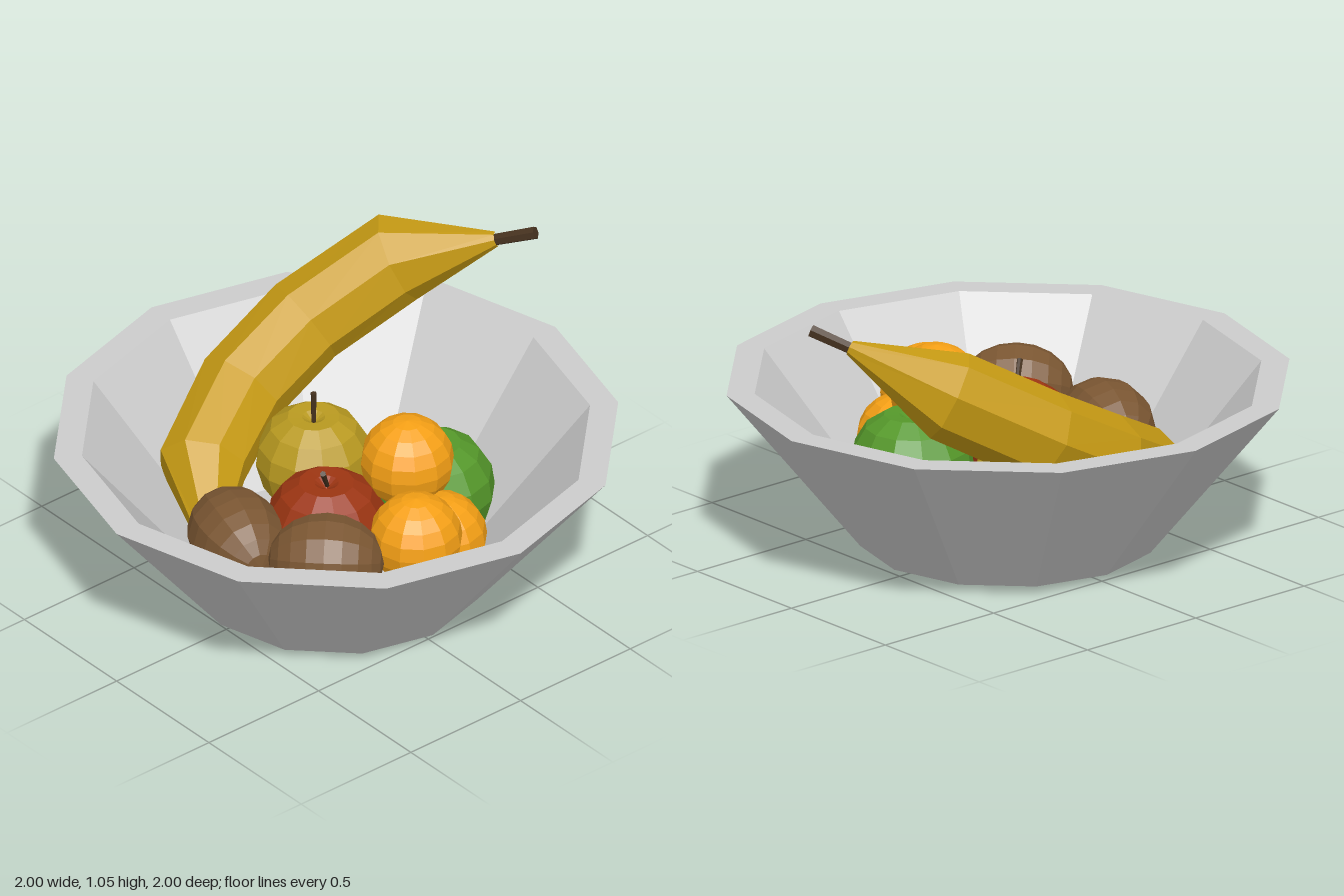
import * as THREE from 'three';

const V = (x, y, z) => new THREE.Vector3(x, y, z);
const mat = (color) => new THREE.MeshStandardMaterial({ color, flatShading: true });
const stemMat = mat(0x46321f);

function add(parent, name, geometry, material) {
  const mesh = new THREE.Mesh(geometry, material);
  mesh.name = name;
  parent.add(mesh);
  return mesh;
}

const lathe = (pts, sides) =>
  new THREE.LatheGeometry(pts.map(([x, y]) => new THREE.Vector2(x, y)), sides);

// Short tapered stalk between two points
function addStem(parent, name, from, to, r0, r1) {
  const dir = to.clone().sub(from);
  const stem = add(parent, name, new THREE.CylinderGeometry(r1, r0, dir.length(), 6), stemMat);
  stem.position.copy(from).add(to).multiplyScalar(0.5);
  stem.quaternion.setFromUnitVectors(V(0, 1, 0), dir.normalize());
}

// Rings swept along a path that lies in the plane with the given normal
function loft(path, radii, normal, sides) {
  const pos = [], index = [];
  path.forEach((c, i) => {
    const before = c.clone().sub(path[Math.max(i - 1, 0)]).normalize();
    const after = path[Math.min(i + 1, path.length - 1)].clone().sub(c).normalize();
    const tangent = before.add(after).normalize();
    const side = normal.clone().cross(tangent).normalize();
    const up = tangent.clone().cross(side);
    for (let j = 0; j < sides; j++) {
      const a = (j / sides) * Math.PI * 2;
      const p = c.clone().addScaledVector(side, radii[i] * Math.cos(a))
        .addScaledVector(up, radii[i] * Math.sin(a));
      pos.push(p.x, p.y, p.z);
      if (i === path.length - 1) continue;
      const k = i * sides + j, n = i * sides + (j + 1) % sides;
      index.push(k, n, k + sides, n, n + sides, k + sides);
    }
  });
  const g = new THREE.BufferGeometry();
  g.setAttribute('position', new THREE.Float32BufferAttribute(pos, 3));
  g.setIndex(index);
  g.computeVertexNormals();
  return g;
}

export function createModel() {
  const model = new THREE.Group();
  model.name = 'fruitBowl';

  // Twelve-sided bowl with a thick rim and a shallow pointed base
  add(model, 'bowl', lathe([
    [0, 0], [0.525, 0.03], [1, 0.62], [0.9, 0.62], [0.48, 0.1], [0, 0.09],
  ], 12), mat(0xcccccc));

  // Apples: dimpled profile, each with a leaning stalk
  const appleProfile = [
    [0, -0.82], [0.25, -0.92], [0.6, -0.78], [0.87, -0.42], [1, 0.05],
    [0.95, 0.4], [0.75, 0.74], [0.45, 0.94], [0.2, 0.93], [0, 0.8],
  ];
  [
    ['greenApple', 0x55982a, 0.22, V(0.155, 0.31, -0.31), V(0.02, 0.28, 0.01)],
    ['yellowApple', 0xb99a20, 0.205, V(-0.24, 0.32, -0.1), V(0, 0.29, 0)],
    ['redApple', 0x9c3512, 0.217, V(0.115, 0.32, 0.14), V(0.04, 0.28, 0.05)],
  ].forEach(([name, color, r, at, tip]) => {
    const apple = new THREE.Group();
    apple.name = name;
    apple.position.copy(at);
    add(apple, name + 'Body', lathe(appleProfile.map(([x, y]) => [x * r, y * r]), 12), mat(color));
    addStem(apple, name + 'Stem', V(-tip.x / 3, r * 0.78, -tip.z / 3), tip, 0.008, 0.011);
    model.add(apple);
  });

  // Oranges
  const orangeMat = mat(0xf5a015);
  [[0.22, 0.55, -0.14], [0.48, 0.435, 0.04], [0.4, 0.32, -0.14]].forEach((p, i) => {
    add(model, 'orange' + (i + 1), new THREE.SphereGeometry(0.165, 12, 10), orangeMat).position.set(...p);
  });

  // Kiwis: spheres stretched along their poles and laid down
  const kiwiMat = mat(0x7a5632);
  [[-0.025, 0.345, 0.43, 0.215, -0.3], [0.348, 0.4, 0.337, 0.203, 0.8]].forEach(([x, y, z, len, turn], i) => {
    const g = new THREE.SphereGeometry(0.167, 12, 10);
    g.scale(1, len / 0.167, 1).rotateZ(Math.PI / 2).rotateY(turn);
    add(model, 'kiwi' + (i + 1), g, kiwiMat).position.set(x, y, z);
  });

  // Banana: planar curve leaning over the rim, tapering at both ends
  const banana = new THREE.Group();
  banana.name = 'banana';
  const path = [
    V(-0.15, 0.975, -0.86), V(-0.45, 0.83, -0.66), V(-0.57, 0.64, -0.34),
    V(-0.57, 0.485, -0.05), V(-0.45, 0.34, 0.23), V(-0.15, 0.22, 0.44), V(-0.12, 0.21, 0.46),
  ];
  const normal = V(0, 0.863, 0.505);
  add(banana, 'bananaBody', loft(path, [0.026, 0.163, 0.163, 0.163, 0.16, 0.03, 0.001], normal, 8), mat(0xc79b14));
  addStem(banana, 'bananaStem', V(-0.16, 0.968, -0.853), V(-0.035, 1.025, -0.94), 0.022, 0.024);
  model.add(banana);

  return model;
}
